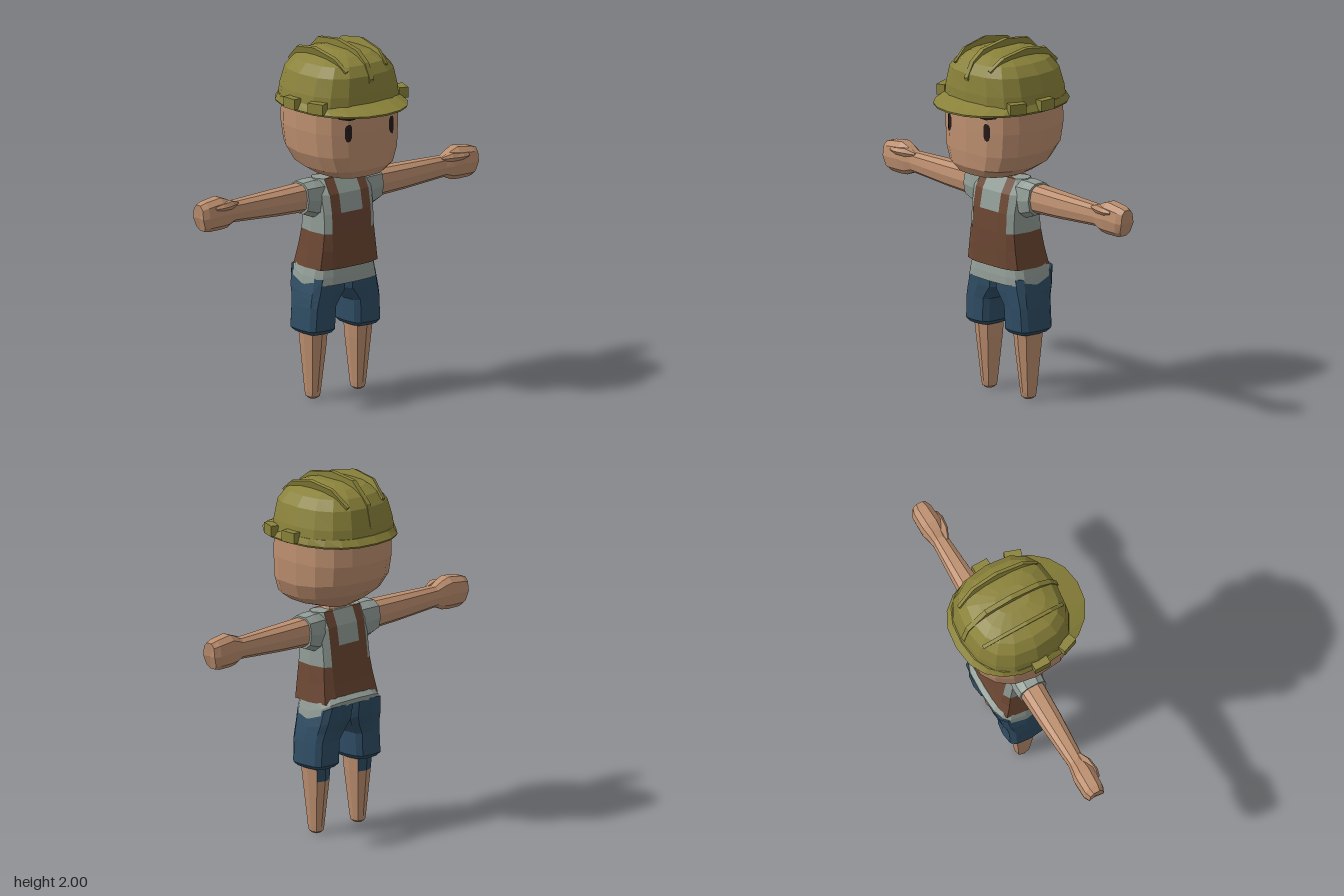
import * as THREE from 'three';

const paint = (name, color) => {
  const m = new THREE.MeshStandardMaterial({ color, flatShading: true });
  m.name = name;
  return m;
};

// Superellipse cross-section at height y; lift raises its back (-z) side
function ring(y, x0, x1, z0, z1, { n = 12, p = 2.6, pb = p, lift = 0 } = {}) {
  const cx = (x0 + x1) / 2, cz = (z0 + z1) / 2, out = [];
  for (let i = 0; i < n; i++) {
    const a = (i / n) * Math.PI * 2, c = Math.cos(a), s = Math.sin(a), e = 2 / (s < -1e-6 ? pb : p);
    out.push(new THREE.Vector3(
      cx + Math.sign(c) * Math.abs(c) ** e * (x1 - x0) / 2,
      y + lift * Math.max(0, -s),
      cz + Math.sign(s) * Math.abs(s) ** e * (z1 - z0) / 2));
  }
  return out;
}

// Skin a stack of rings with capped ends; pick(row, column) chooses a material
function loft(name, rings, mats, { pick = () => 0, mirror = false } = {}) {
  const list = [].concat(mats), tris = list.map(() => []);
  const add = (m, a, b, c) => tris[m].push(...(mirror ? [a, c, b] : [a, b, c]));
  const n = rings[0].length, last = rings.length - 1;
  const mid = r => r.reduce((s, v) => s.add(v), new THREE.Vector3()).divideScalar(n);
  const lo = mid(rings[0]), hi = mid(rings[last]);
  for (let j = 0; j < n; j++) {
    const k = (j + 1) % n;
    for (let i = 0; i < last; i++) {
      const m = pick(i, j), A = rings[i], B = rings[i + 1];
      add(m, A[j], B[j], B[k]);
      add(m, A[j], B[k], A[k]);
    }
    add(pick(0, j), lo, rings[0][j], rings[0][k]);
    add(pick(last - 1, j), hi, rings[last][k], rings[last][j]);
  }
  const g = new THREE.BufferGeometry(), pos = [];
  tris.forEach((t, m) => {
    g.addGroup(pos.length / 3, t.length, m);
    t.forEach(v => pos.push(mirror ? -v.x : v.x, v.y, v.z));
  });
  g.setAttribute('position', new THREE.Float32BufferAttribute(pos, 3));
  g.computeVertexNormals();
  const mesh = new THREE.Mesh(g, list.length > 1 ? list : list[0]);
  mesh.name = name;
  return mesh;
}

// Cross-section of a limb running along x
const limbRing = (x, y0, y1, z0, z1, opt = {}) =>
  ring(x, z0, z1, y0, y1, { n: 10, ...opt }).map(v => new THREE.Vector3(v.y, v.z, v.x));

export function createModel() {
  const model = new THREE.Group();
  model.name = 'worker';
  const skin = paint('skin', 0xbd8f6f), olive = paint('helmet olive', 0x8a823a);
  const brown = paint('apron brown', 0x6c4733), grey = paint('shirt grey', 0x929d97);
  const blue = paint('shorts blue', 0x2f4d64), dark = paint('eye dark', 0x261a1a);

  // Head: flat face, round back, underside rising to the rear
  const head = (y, hx, zf, zb, lift) => ring(y, -hx, hx, zb, zf, { n: 16, p: 3, pb: 2.4, lift });
  model.add(loft('head', [
    head(1.262, 0.1, 0.13, -0.14, 0), head(1.28, 0.175, 0.215, -0.2, 0.02),
    head(1.325, 0.245, 0.243, -0.28, 0.04), head(1.41, 0.283, 0.248, -0.325, 0.03),
    head(1.54, 0.293, 0.248, -0.342, 0), head(1.69, 0.29, 0.246, -0.338, 0),
  ], skin));
  model.add(loft('neck', [ring(1.19, -0.1, 0.1, -0.11, 0.0), ring(1.245, -0.075, 0.075, -0.1, 0.01),
    ring(1.29, -0.06, 0.06, -0.09, 0.0)], skin));

  // Eyes and brows: strips of [x, bottom, top] laid on the face
  const faceZ = x => (x < 0.154 ? 0.248 - x * 0.117 : 0.23 - (x - 0.154) * 0.6);
  const facePatch = (name, cols, off, side) => {
    const pos = [];
    for (let i = 0; i < cols.length - 1; i++) {
      const [a, b] = [cols[i], cols[i + 1]];
      const P = (c, k) => [side * c[0], c[k], faceZ(c[0]) + off];
      const q = [P(a, 1), P(b, 1), P(b, 2), P(a, 2)];
      (side > 0 ? [0, 1, 2, 0, 2, 3] : [0, 2, 1, 0, 3, 2]).forEach(k => pos.push(...q[k]));
    }
    const g = new THREE.BufferGeometry();
    g.setAttribute('position', new THREE.Float32BufferAttribute(pos, 3));
    g.computeVertexNormals();
    const m = new THREE.Mesh(g, dark);
    m.name = name;
    model.add(m);
  };
  for (const s of [1, -1]) {
    const side = s > 0 ? 'left' : 'right';
    facePatch(side + 'Eye', [[0.13, 1.525, 1.58], [0.139, 1.505, 1.597], [0.154, 1.498, 1.597],
      [0.164, 1.505, 1.59], [0.17, 1.525, 1.575]], 0.005, s);
    facePatch(side + 'Brow', [[0.09, 1.637, 1.665], [0.115, 1.622, 1.67], [0.154, 1.62, 1.67],
      [0.2, 1.63, 1.67], [0.22, 1.65, 1.67]], 0.009, s);
  }

  // Helmet shell and brim
  const shell = (y, hx, zf, zb) => ring(y, -hx, hx, zb, zf, { n: 16, p: 2.7, pb: 2.4 });
  model.add(loft('helmetShell', [
    shell(1.665, 0.315, 0.252, -0.35), shell(1.75, 0.303, 0.25, -0.342), shell(1.85, 0.275, 0.238, -0.318),
    shell(1.905, 0.228, 0.203, -0.275), shell(1.94, 0.155, 0.14, -0.215), shell(1.96, 0.07, 0.06, -0.13),
  ], olive));
  const brim = (y, hx, zf, zb, lift = 0) => ring(y, -hx, hx, zb, zf, { n: 20, p: 2.15, pb: 2.4, lift });
  model.add(loft('helmetBrim', [brim(1.653, 0.322, 0.375, -0.38), brim(1.663, 0.326, 0.377, -0.385),
    brim(1.7, 0.311, 0.262, -0.352)], olive));

  // Raised helmet ridges, profile as [z, y]
  const ridge = (name, pts, w, x, tilt) => {
    const shape = new THREE.Shape(pts.map(p => new THREE.Vector2(p[0], p[1] - 1.9)));
    const g = new THREE.ExtrudeGeometry(shape, { depth: w, bevelEnabled: false });
    g.rotateY(-Math.PI / 2).translate(w / 2, 0, 0).rotateZ(tilt).translate(x, 1.9, 0);
    const m = new THREE.Mesh(g, olive);
    m.name = name;
    model.add(m);
  };
  ridge('centreRidge', [[0.235, 1.79], [0.25, 1.83], [0.205, 1.915], [0.13, 1.97], [-0.04, 2.0],
    [-0.2, 1.98], [-0.315, 1.87], [-0.345, 1.74], [-0.3, 1.74]], 0.028, 0, 0);
  const sidePts = [[0.18, 1.86], [0.205, 1.885], [0.12, 1.95], [-0.04, 1.983], [-0.19, 1.96], [-0.295, 1.87], [-0.27, 1.84]];
  for (const s of [1, -1]) ridge('sideRidge', sidePts, 0.02, s * 0.143, -s * 0.27);

  // Clips on the helmet sides
  for (const s of [1, -1]) for (const [z, x, turn] of [[0.14, 0.293, 0.35], [-0.04, 0.322, 0]]) {
    const clip = new THREE.Mesh(new THREE.BoxGeometry(0.05, 0.06, 0.095), olive);
    clip.name = 'helmetClip';
    clip.position.set(s * x, 1.695, z);
    clip.rotation.y = -s * turn;
    model.add(clip);
  }

  // Torso: shirt with apron bib and straps coloured by column
  const torsoRing = (y, w, zf, zb) => {
    const half = [[0.075, zf], [0.135, zf - 0.006], [w - 0.015, zf - 0.03], [w, (zf + zb) / 2],
      [w - 0.015, zb + 0.03], [0.135, zb + 0.006], [0.075, zb]];
    return [...half.map(([x, z]) => new THREE.Vector3(-x, y, z)),
      ...half.reverse().map(([x, z]) => new THREE.Vector3(x, y, z))];
  };
  const straps = [0, 5, 7, 12], bib = [...straps, 6, 13];
  model.add(loft('torso', [
    torsoRing(0.745, 0.215, 0.082, -0.21), torsoRing(0.85, 0.2, 0.084, -0.188),
    torsoRing(0.945, 0.188, 0.083, -0.175), torsoRing(1.055, 0.186, 0.078, -0.162),
    torsoRing(1.16, 0.19, 0.058, -0.145), torsoRing(1.242, 0.17, 0.01, -0.11),
  ], [grey, brown], { pick: (i, j) => +(i < 2 || (i === 2 ? bib : straps).includes(j)) }));

  // Shirt hem, rising at the back
  const hem = (y, hx, zf, zb, lift) => ring(y, -hx, hx, zb, zf, { n: 16, p: 3.4, lift });
  model.add(loft('shirtHem', [hem(0.655, 0.228, 0.08, -0.232, 0.08), hem(0.7, 0.222, 0.078, -0.232, 0.06),
    hem(0.757, 0.208, 0.07, -0.205, 0.025)], grey));

  for (const s of [1, -1]) {
    const side = s > 0 ? 'left' : 'right', mirror = s < 0;
    // Shorts leg, meeting its twin at the crotch
    const sh = (y, x0, x1, z0, z1, lift = 0) => ring(y, x0, x1, z0, z1, { n: 12, p: 3.6, lift });
    model.add(loft(side + 'Shorts', [
      sh(0.378, 0.078, 0.235, -0.165, 0.035), sh(0.4, 0.06, 0.256, -0.185, 0.052),
      sh(0.53, 0.055, 0.248, -0.185, 0.056), sh(0.575, 0.02, 0.243, -0.195, 0.058, 0.01),
      sh(0.61, -0.012, 0.238, -0.215, 0.06, 0.04), sh(0.69, -0.012, 0.22, -0.23, 0.062, 0.05),
    ], blue, { mirror }));

    // Bare leg with a blue patch behind the knee
    const lg = (y, x0, x1, z0, z1) => ring(y, x0, x1, z0, z1, { n: 8, p: 2.8 });
    model.add(loft(side + 'Leg', [
      lg(0, 0.138, 0.178, -0.09, -0.045), lg(0.012, 0.124, 0.192, -0.105, -0.03),
      lg(0.04, 0.12, 0.196, -0.11, -0.024), lg(0.3, 0.095, 0.218, -0.136, 0.006),
      lg(0.42, 0.088, 0.228, -0.145, 0.018),
    ], [skin, blue], { mirror, pick: (i, j) => +(i === 3 && (j === 5 || j === 6)) }));

    // Sleeve, arm with fist, and thumb
    model.add(loft(side + 'Sleeve', [limbRing(0.13, 1.03, 1.24, -0.13, 0.03),
      limbRing(0.2, 1.03, 1.243, -0.142, 0.036), limbRing(0.262, 1.055, 1.237, -0.14, 0.03)], grey, { mirror }));
    model.add(loft(side + 'Arm', [
      limbRing(0.2, 1.065, 1.228, -0.13, 0.018), limbRing(0.45, 1.075, 1.22, -0.122, 0.01),
      limbRing(0.74, 1.092, 1.21, -0.105, -0.01), limbRing(0.785, 1.07, 1.235, -0.115, 0),
      limbRing(0.83, 1.065, 1.252, -0.125, 0.005), limbRing(0.93, 1.065, 1.238, -0.122, 0, { lift: -0.02 }),
      limbRing(0.965, 1.07, 1.226, -0.105, -0.015, { lift: -0.03 }),
    ], skin, { mirror }));
    model.add(loft(side + 'Thumb', [limbRing(0.715, 1.19, 1.208, -0.04, -0.02, { n: 6 }),
      limbRing(0.77, 1.178, 1.228, -0.05, 0.008, { n: 6 }), limbRing(0.84, 1.18, 1.222, -0.05, 0.017, { n: 6 }),
      limbRing(0.885, 1.19, 1.21, -0.04, 0.005, { n: 6 })], skin, { mirror }));
  }
  return model;
}
